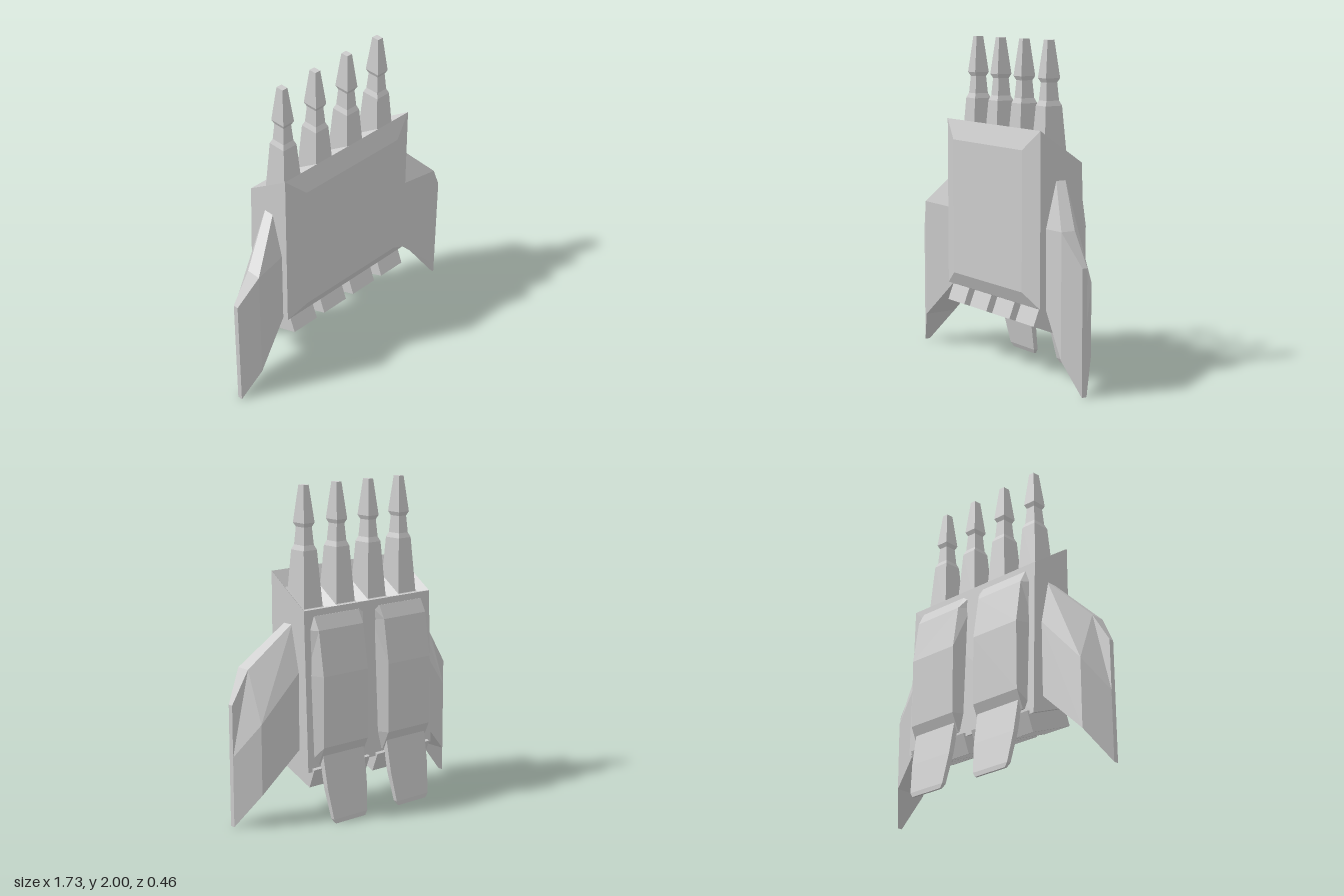
import * as THREE from 'three';

const material = new THREE.MeshStandardMaterial({ color: 0xcccccc, flatShading: true });
const openMaterial = new THREE.MeshStandardMaterial({ color: 0xcccccc, flatShading: true, side: THREE.DoubleSide });

// Flat-shaded skin over a row of rings with equal point counts; winding is fixed by signed volume.
function loft(name, rings, { capStart = true, capEnd = true, mat = material } = {}) {
  const tris = [];
  const n = rings[0].length;
  for (let r = 0; r < rings.length - 1; r++) {
    for (let i = 0; i < n; i++) {
      const j = (i + 1) % n;
      const [a, b, c, d] = [rings[r][i], rings[r][j], rings[r + 1][j], rings[r + 1][i]];
      tris.push([a, b, c], [a, c, d]);
    }
  }
  const first = rings[0], last = rings[rings.length - 1];
  for (let i = 1; i < n - 1; i++) {
    if (capStart) tris.push([first[0], first[i + 1], first[i]]);
    if (capEnd) tris.push([last[0], last[i], last[i + 1]]);
  }
  const center = new THREE.Vector3();
  rings.flat().forEach((p) => center.add(new THREE.Vector3(...p)));
  center.divideScalar(rings.length * n);
  let volume = 0;
  for (const t of tris) {
    const [a, b, c] = t.map((p) => new THREE.Vector3(...p).sub(center));
    volume += a.dot(b.cross(c));
  }
  if (volume < 0) tris.forEach((t) => t.reverse());
  const geo = new THREE.BufferGeometry();
  geo.setAttribute('position', new THREE.Float32BufferAttribute(tris.flat(2), 3));
  geo.computeVertexNormals();
  const mesh = new THREE.Mesh(geo, mat);
  mesh.name = name;
  return mesh;
}

// Four-cornered rings: lying in a horizontal plane, or on a sloped plane y(z).
const slopedRing = (cx, hx, z0, z1, y) => [
  [cx - hx, y(z0), z0], [cx + hx, y(z0), z0], [cx + hx, y(z1), z1], [cx - hx, y(z1), z1],
];
const flatRing = (cx, hx, z0, z1, y) => slopedRing(cx, hx, z0, z1, () => y);

const topY = (z) => 1.49 + (z - 0.19) * 0.68;
const bottomY = (z) => 0.45 + (z - 0.19) * 0.4;

function createBody(group) {
  // Main block, open at the top where the sockets sit
  group.add(loft('body', [
    slopedRing(0, 0.505, -0.135, 0.19, bottomY),
    slopedRing(0, 0.505, -0.105, 0.19, topY),
  ], { capEnd: false }));
  // Raised front plate with bevelled border
  const plate = (hx, y0, y1, z) => [[-hx, y0, z], [hx, y0, z], [hx, y1, z], [-hx, y1, z]];
  group.add(loft('frontPlate', [plate(0.505, 0.45, 1.49, 0.19), plate(0.375, 0.535, 1.37, 0.23)],
    { capStart: false }));
}

function createLauncher(x) {
  const launcher = new THREE.Group();
  launcher.name = 'launcher';
  // Sunken socket in the sloping top
  launcher.add(loft('socket', [
    slopedRing(x, 0.12625, -0.105, 0.19, topY),
    slopedRing(x, 0.08, -0.045, 0.125, (z) => topY(z) - 0.05),
  ], { capStart: false, mat: openMaterial }));
  // Square stepped barrel: [y, half width, half depth]
  const steps = [
    [1.24, 0.075, 0.085], [1.62, 0.05, 0.058], [1.65, 0.038, 0.045],
    [1.755, 0.03, 0.037], [1.78, 0.041, 0.05], [2.0, 0.019, 0.024],
  ];
  launcher.add(loft('barrel', steps.map(([y, hx, hz]) => flatRing(x, hx, 0.042 - hz, 0.042 + hz, y))));
  return launcher;
}

function createNozzle(x) {
  // Hollow box standing square to the sloping underside: d = distance below it
  const ring = (d, hx, inset) => slopedRing(x, hx, -0.145 + inset, 0.175 - inset, bottomY)
    .map(([px, py, pz]) => [px, py - d * 0.93, pz + d * 0.37]);
  return loft('nozzle', [ring(-0.02, 0.094, 0), ring(0.105, 0.094, 0),
    ring(0.105, 0.083, 0.014), ring(-0.01, 0.07, 0.03)]);
}

function createBackPanel(side) {
  // Bevelled panel: [y, rear z] along its height
  const rows = [[1.25, -0.108], [1.17, -0.15], [0.9, -0.192], [0.47, -0.192], [0.36, -0.142]];
  return loft('backPanel', rows.map(([y, z]) => [
    [side * 0.035, y, -0.09], [side * 0.085, y, z], [side * 0.43, y, z], [side * 0.475, y, -0.09],
  ]));
}

function createFlap(side) {
  // Thin tapering tail flap
  const x = side * 0.255;
  return loft('tailFlap', [
    flatRing(x, 0.16, -0.165, -0.13, 0.42),
    flatRing(x, 0.155, -0.2, -0.165, 0.22),
    flatRing(x, 0.132, -0.231, -0.203, 0.03),
    flatRing(x, 0.115, -0.231, -0.217, 0.002),
  ]);
}

function createWing(side) {
  // Sections at root, bend and tip: [z, y] pairs round the section
  const sections = [
    [0.5, [[0.075, 1.2], [0.01, 1.2], [-0.055, 0.92], [-0.055, 0.45], [0.148, 0.45], [0.148, 0.92]]],
    [0.745, [[0.213, 0.94], [0.12, 0.94], [0, 0.63], [0, 0.2], [0.213, 0.2], [0.213, 0.63]]],
    [0.865, [[0.153, 0.745], [0.12, 0.745], [0.12, 0.43], [0.12, 0.002], [0.153, 0.002], [0.153, 0.43]]],
  ];
  return loft(side > 0 ? 'leftWing' : 'rightWing',
    sections.map(([x, pts]) => pts.map(([z, y]) => [side * x, y, z])));
}

export function createModel() {
  const group = new THREE.Group();
  createBody(group);
  for (let i = 0; i < 4; i++) {
    const x = (i - 1.5) * 0.2525;
    group.add(createLauncher(x), createNozzle(x));
  }
  for (const side of [1, -1]) {
    group.add(createWing(side), createBackPanel(side), createFlap(side));
  }
  return group;
}
